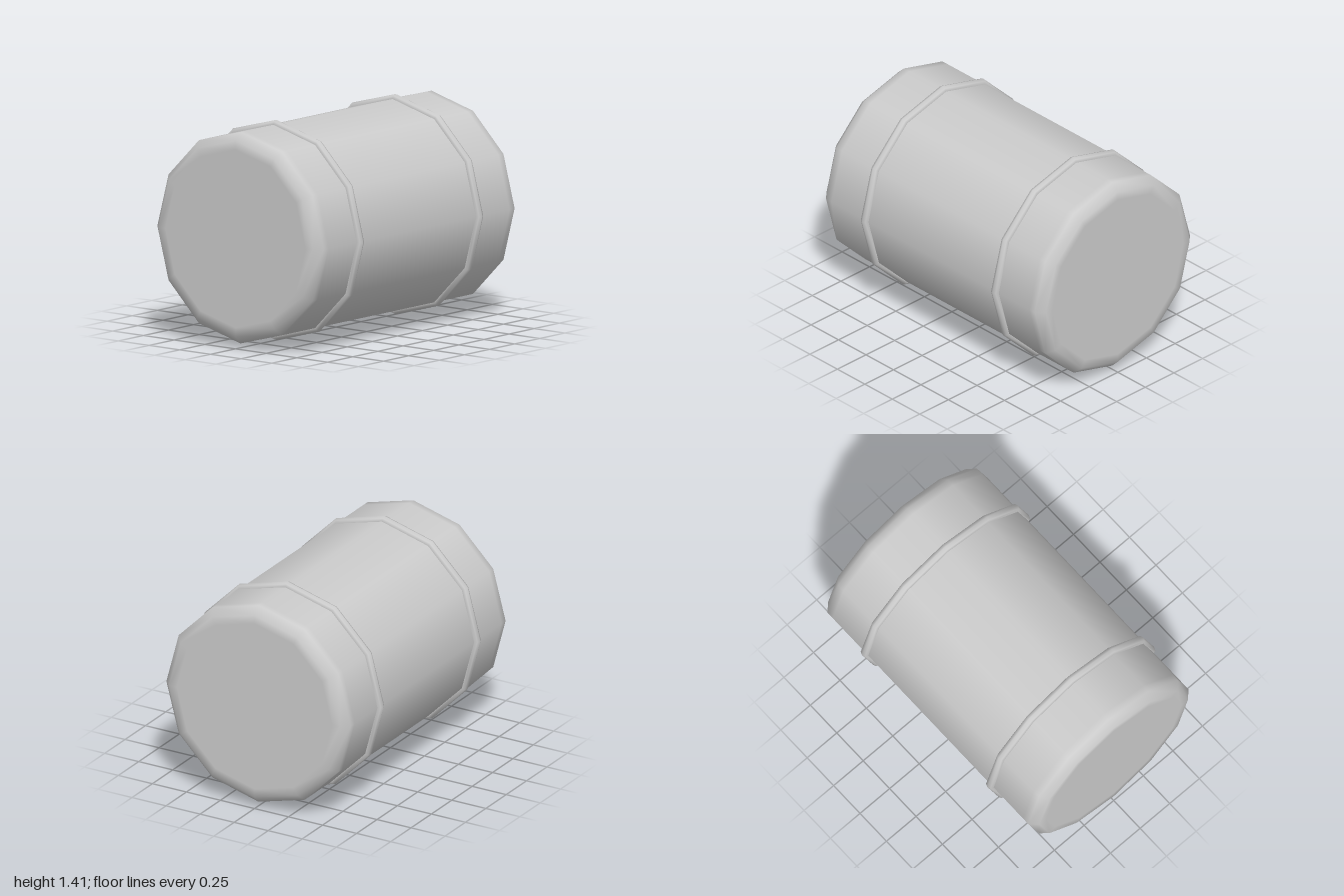
import * as THREE from 'three';

const SIDES = 12;
const RADIUS = 0.677;
const CENTRE_Y = 0.705;

export function createModel() {
  const material = new THREE.MeshStandardMaterial({ color: 0xcccccc });
  const barrel = new THREE.Group();
  barrel.name = 'barrel';
  barrel.position.y = CENTRE_Y;

  // Drum body: half profile (radius, distance along the axis), mirrored.
  // The extra points beside each bevel keep the shading blend narrow.
  const half = [
    [RADIUS, 0.9], [RADIUS, 0.95], [0.627, 1], [0.57, 1], [0, 1],
  ];
  const profile = [
    ...half.map(([r, h]) => new THREE.Vector2(r, -h)).reverse(),
    ...half.map(([r, h]) => new THREE.Vector2(r, h)),
  ];
  const body = new THREE.Mesh(new THREE.LatheGeometry(profile, SIDES), material);
  body.name = 'drumBody';
  body.rotation.z = -Math.PI / 2;
  barrel.add(body);

  // Raised hoops around the body
  const hoopGeometry = new THREE.TorusGeometry(0.675, 0.03, 8, SIDES);
  for (const [name, x] of [['leftHoop', 0.593], ['rightHoop', -0.593]]) {
    const hoop = new THREE.Mesh(hoopGeometry, material);
    hoop.name = name;
    hoop.position.x = x;
    hoop.rotation.y = Math.PI / 2;
    barrel.add(hoop);
  }

  const model = new THREE.Group();
  model.name = 'drum';
  model.add(barrel);
  return model;
}
